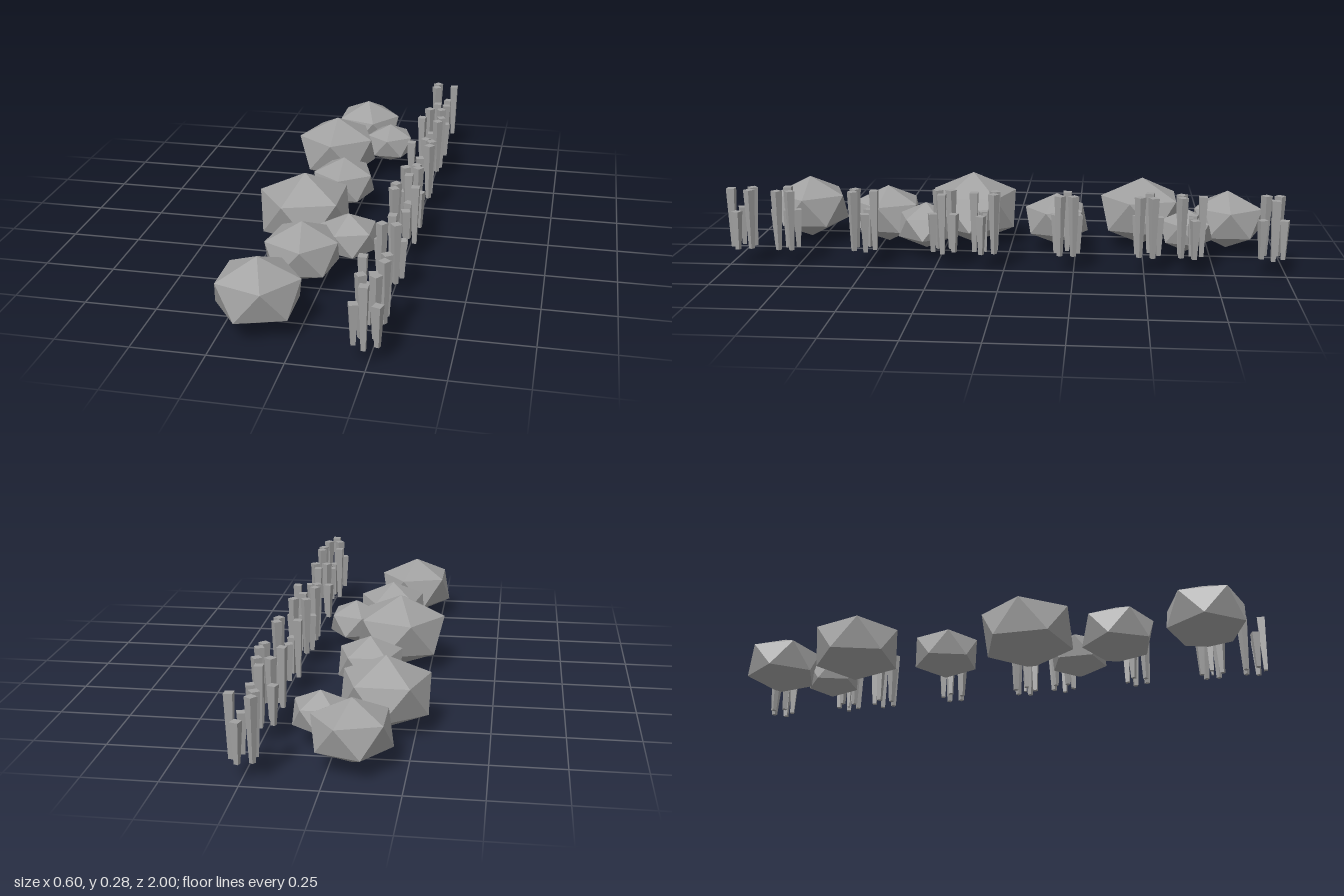
import * as THREE from 'three';

const deg = Math.PI / 180;

// Boulder x, z, ring radius, heading of a shoulder corner in degrees
const ROCKS = [
  [-0.074, -0.816, 0.132, 0],
  [0.05, -0.657, 0.096, 18],
  [-0.145, -0.498, 0.156, 18],
  [-0.053, -0.177, 0.118, 18],
  [-0.132, 0.148, 0.167, 36],
  [0.062, 0.305, 0.104, 36],
  [-0.068, 0.47, 0.131, 9],
  [-0.137, 0.79, 0.144, 0],
];

// Post cluster z, heading in degrees, has a thin middle post
const CLUSTERS = [
  [-0.945, 0, false],
  [-0.66, -90, true],
  [-0.51, 190, false],
  [-0.225, 180, false],
  [0.065, 90, true],
  [0.215, 0, false],
  [0.505, -90, false],
  [0.787, 180, true],
  [0.945, 90, false],
];

const BASE_Y = 0.067;

// Squashed icosahedron standing on one corner
function rockGeometry() {
  const g = new THREE.IcosahedronGeometry(1, 0);
  g.rotateX(-Math.atan((1 + Math.sqrt(5)) / 2));
  return g;
}

// Square post that narrows towards its foot
function postGeometry(top, bottom, height) {
  const g = new THREE.CylinderGeometry(top, bottom, height, 4).toNonIndexed();
  g.rotateY(Math.PI / 4);
  g.translate(0, BASE_Y + height / 2, 0);
  g.computeVertexNormals();
  return g;
}

export function createModel() {
  const model = new THREE.Group();
  model.name = 'rocksAndPosts';
  const stone = new THREE.MeshStandardMaterial({ color: 0xa0a0a0, flatShading: true });
  stone.name = 'grey stone';

  // Row of boulders
  const rock = rockGeometry();
  const rocks = new THREE.Group();
  rocks.name = 'boulders';
  ROCKS.forEach(([x, z, ring, heading], i) => {
    const mesh = new THREE.Mesh(rock, stone);
    mesh.name = `boulder${i + 1}`;
    const ry = ring * 0.832;
    mesh.scale.set(ring / 0.8944, ry, ring / 0.8944);
    mesh.rotation.y = (90 - heading) * deg;
    mesh.position.set(x, 0.077 + 0.4472 * ry, z);
    rocks.add(mesh);
  });
  model.add(rocks);

  // Rings of five posts, alternating tall and short
  const tall = postGeometry(0.0207, 0.0105, 0.217);
  const short = postGeometry(0.0207, 0.0105, 0.14);
  const middle = postGeometry(0.011, 0.006, 0.14);
  CLUSTERS.forEach(([z, heading, hasMiddle], c) => {
    const cluster = new THREE.Group();
    cluster.name = `postCluster${c + 1}`;
    cluster.position.set(0.2425, 0, z);
    for (let i = 0; i < 5; i++) {
      const a = (heading - 144 + i * 72) * deg;
      const post = new THREE.Mesh(i % 2 ? short : tall, stone);
      post.name = i % 2 ? 'shortPost' : 'tallPost';
      post.position.set(Math.cos(a) * 0.04, 0, Math.sin(a) * 0.04);
      post.rotation.y = -a;
      cluster.add(post);
    }
    if (hasMiddle) {
      const post = new THREE.Mesh(middle, stone);
      post.name = 'middlePost';
      cluster.add(post);
    }
    model.add(cluster);
  });

  return model;
}
